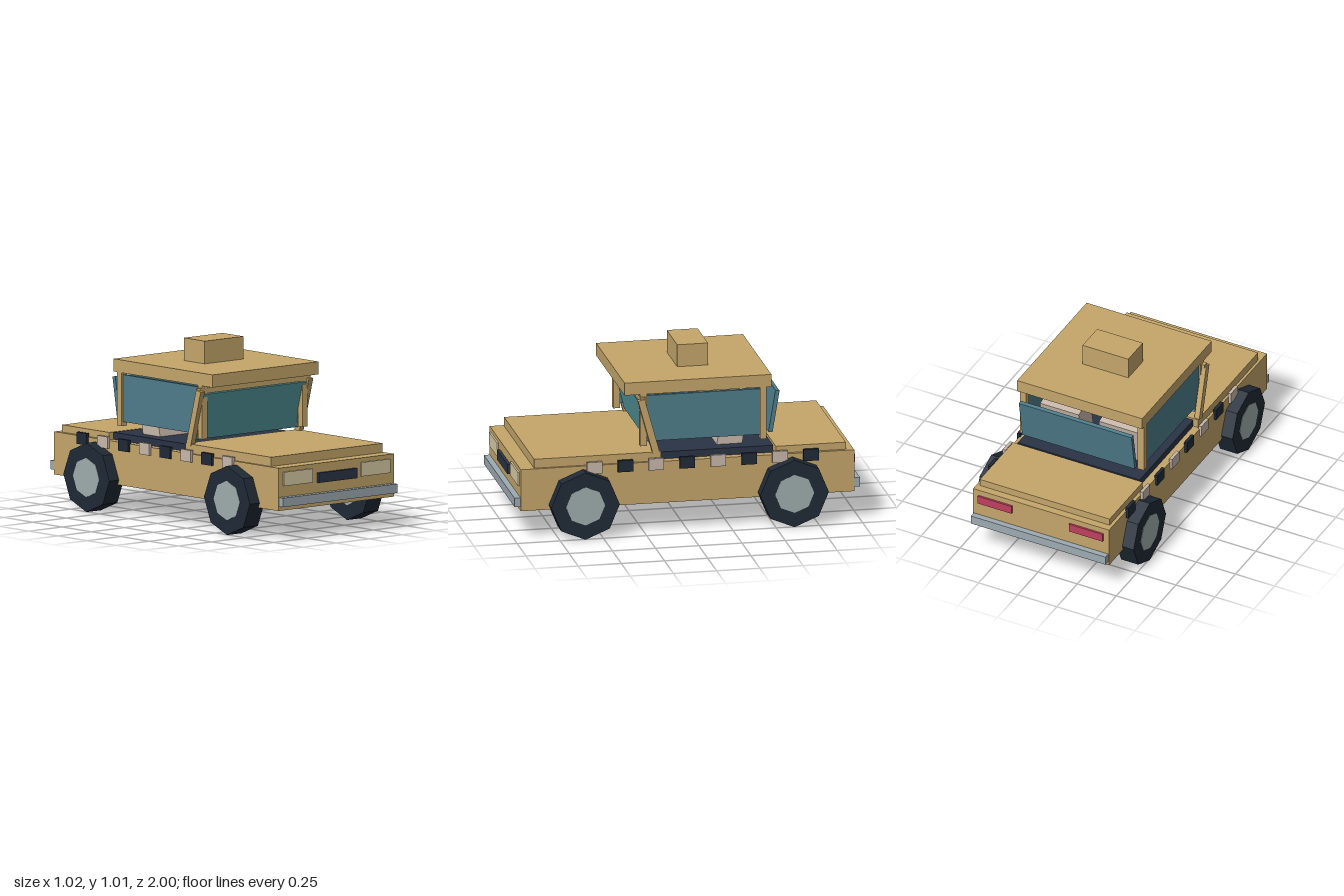
import * as THREE from 'three';

const mat = (color) => new THREE.MeshStandardMaterial({ color, flatShading: true });

export function createModel() {
  const car = new THREE.Group();
  car.name = 'car';

  const tan = mat(0xc4a66a);
  const dark = mat(0x1f2a36);
  const navy = mat(0x2a3446);
  const pale = mat(0xc8b8ab);
  const metal = mat(0x9daab2);
  const hubGrey = mat(0x9fadae);
  const cream = mat(0xd9cda5);
  const red = mat(0xc04060);
  const windshieldGlass = mat(0x5aa2aa);
  const glass = mat(0x4e7d8b);

  // Box given by its low and high limits on each axis
  function box(name, material, [x0, x1], [y0, y1], [z0, z1], tilt = 0) {
    const mesh = new THREE.Mesh(new THREE.BoxGeometry(x1 - x0, y1 - y0, z1 - z0), material);
    mesh.position.set((x0 + x1) / 2, (y0 + y1) / 2, (z0 + z1) / 2);
    mesh.rotation.x = tilt;
    mesh.name = name;
    car.add(mesh);
    return mesh;
  }
  // The same box on both sides
  function pair(name, material, [x0, x1], y, z, tilt = 0) {
    box(name + 'Left', material, [x0, x1], y, z, tilt);
    box(name + 'Right', material, [-x1, -x0], y, z, tilt);
  }

  // Body, bonnet, boot and cabin floor
  box('body', tan, [-0.435, 0.435], [0.17, 0.415], [-0.965, 0.965]);
  box('hood', tan, [-0.42, 0.42], [0.415, 0.468], [0.15, 0.885]);
  box('trunkLid', tan, [-0.415, 0.415], [0.415, 0.457], [-0.92, -0.515]);
  box('cabinFloor', navy, [-0.39, 0.39], [0.41, 0.457], [-0.505, 0.15]);

  // Front and rear fittings
  box('frontBumper', metal, [-0.43, 0.43], [0.195, 0.247], [0.96, 1]);
  box('rearBumper', metal, [-0.43, 0.43], [0.195, 0.247], [-1, -0.96]);
  box('grille', navy, [-0.145, 0.145], [0.305, 0.362], [0.96, 0.983]);
  pair('headlight', cream, [0.183, 0.4], [0.31, 0.39], [0.96, 0.975]);
  pair('tailLight', red, [0.183, 0.4], [0.33, 0.38], [-0.976, -0.96]);

  // Roof and rooftop box
  box('roof', tan, [-0.4, 0.4], [0.807, 0.88], [-0.493, 0.357]);
  box('roofBox', tan, [-0.146, 0.146], [0.88, 1.01], [-0.178, 0]);

  // Upright pillars and sloping windshield frame
  pair('frontPillar', tan, [0.357, 0.397], [0.5, 0.81], [0.228, 0.266]);
  pair('rearPillar', tan, [0.357, 0.397], [0.5, 0.81], [-0.466, -0.428]);
  pair('windshieldPost', tan, [0.392, 0.424], [0.457, 0.785], [0.201, 0.241], 0.265);
  box('windshieldHeader', tan, [-0.416, 0.416], [0.762, 0.792], [0.238, 0.268]);

  // Windows
  box('windshield', windshieldGlass, [-0.385, 0.385], [0.489, 0.765], [0.21, 0.235], 0.265);
  pair('sideWindow', glass, [0.367, 0.387], [0.525, 0.795], [-0.43, 0.235]);
  box('rearWindow', glass, [-0.36, 0.36], [0.525, 0.772], [-0.528, -0.504], -0.165);

  // Seat backs, leaning back
  pair('seat', pale, [0.065, 0.312], [0.44, 0.695], [-0.36, -0.215], -0.18);

  // Alternating marker blocks along both sides
  for (let i = 0; i < 8; i++) {
    const z = 0.54 - i * 0.179;
    pair('sideMarker' + i, i % 2 ? dark : pale, [0.43, 0.449], [0.369, 0.437], [z - 0.044, z + 0.044]);
  }

  // Eight-sided wheels with hubs
  const tyreGeometry = new THREE.CylinderGeometry(0.198, 0.198, 0.11, 8).rotateZ(Math.PI / 2);
  const hubGeometry = new THREE.CylinderGeometry(0.113, 0.113, 0.114, 8).rotateZ(Math.PI / 2);
  for (const side of [1, -1]) {
    for (const end of [1, -1]) {
      const wheel = new THREE.Group();
      wheel.name = (end > 0 ? 'front' : 'rear') + (side > 0 ? 'Left' : 'Right') + 'Wheel';
      const tyre = new THREE.Mesh(tyreGeometry, dark);
      tyre.name = 'tyre';
      const hub = new THREE.Mesh(hubGeometry, hubGrey);
      hub.name = 'hub';
      wheel.add(tyre, hub);
      wheel.position.set(side * 0.452, 0.198, end * 0.605);
      car.add(wheel);
    }
  }
  return car;
}
